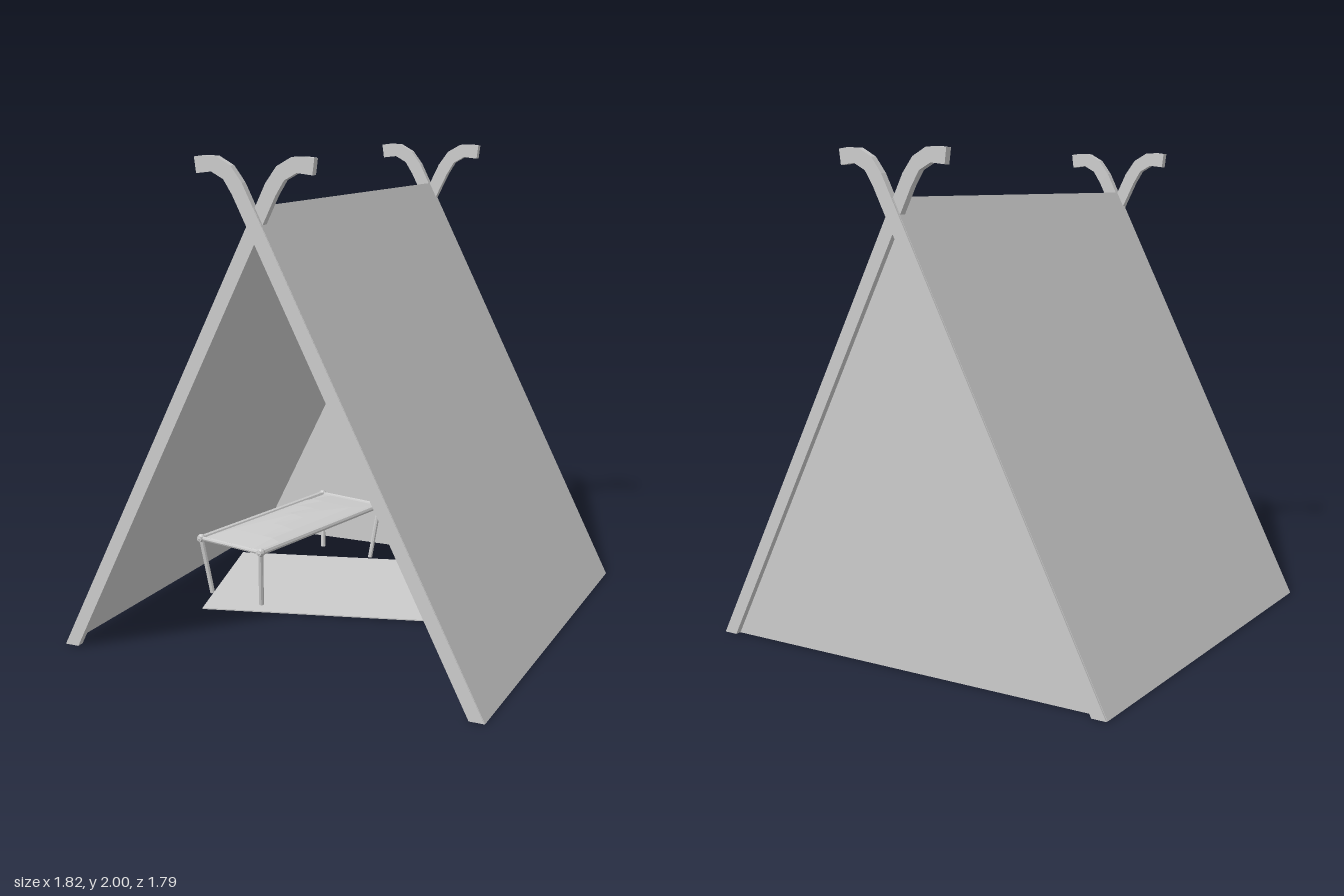
import * as THREE from 'three';

const material = new THREE.MeshStandardMaterial({ color: 0xcccccc, flatShading: true, side: THREE.DoubleSide });

function add(parent, name, geometry) {
  const mesh = new THREE.Mesh(geometry, material);
  mesh.name = name;
  parent.add(mesh);
  return mesh;
}

// Extrude an x/y outline between two z values; side = -1 mirrors it in x
function slab(points, side, z0, z1) {
  let pts = points.map(([x, y]) => new THREE.Vector2(x * side, y));
  if (side < 0) pts = pts.reverse();
  const geometry = new THREE.ExtrudeGeometry(new THREE.Shape(pts), { depth: z1 - z0, bevelEnabled: false });
  return geometry.translate(0, 0, z0);
}

// Round stick between two points
function stick(parent, name, a, b, radius) {
  const from = new THREE.Vector3(...a), to = new THREE.Vector3(...b);
  const dir = to.clone().sub(from);
  const mesh = add(parent, name, new THREE.CylinderGeometry(radius, radius, dir.length(), 8));
  mesh.position.copy(from).add(to).multiplyScalar(0.5);
  mesh.quaternion.setFromUnitVectors(new THREE.Vector3(0, 1, 0), dir.normalize());
  return mesh;
}

function createTent() {
  const tent = new THREE.Group();
  tent.name = 'tent';

  // Crossing poles with curled tips
  const pole = [
    [0.91, 0], [0, 1.815], [-0.045, 1.905], [-0.09, 1.965], [-0.15, 1.998], [-0.2, 2], [-0.24, 1.995],
    [-0.232, 1.935], [-0.17, 1.942], [-0.12, 1.915], [-0.085, 1.86], [-0.035, 1.76], [0, 1.69], [0.85, 0],
  ];
  add(tent, 'frontLeftPole', slab(pole, 1, 0.865, 0.895));
  add(tent, 'backLeftPole', slab(pole, 1, -0.89, -0.86));
  add(tent, 'frontRightPole', slab(pole, -1, 0.853, 0.883));
  add(tent, 'backRightPole', slab(pole, -1, -0.9, -0.87));

  // Sloping cloth walls
  const wall = [[0, 1.818], [0.912, 0], [0.9, 0], [0, 1.794]];
  add(tent, 'leftWall', slab(wall, 1, -0.883, 0.893));
  add(tent, 'rightWall', slab(wall, -1, -0.893, 0.881));

  // Closed back
  const back = new THREE.Shape([[-0.89, 0], [0.89, 0], [0, 1.78]].map((p) => new THREE.Vector2(...p)));
  add(tent, 'backWall', new THREE.ShapeGeometry(back)).position.z = -0.865;
  return tent;
}

function createCot() {
  const cot = new THREE.Group();
  cot.name = 'cot';
  const w = 0.175, l = 0.45, h = 0.262;

  // Splayed legs, corner knobs
  for (const sx of [-1, 1]) {
    for (const sz of [-1, 1]) {
      stick(cot, 'cotLeg', [sx * w, h, sz * l], [sx * 0.145, 0, sz * 0.415], 0.011);
      add(cot, 'cotKnob', new THREE.SphereGeometry(0.019, 8, 6)).position.set(sx * w, h, sz * l);
    }
    stick(cot, 'cotSideRail', [sx * w, h, -l - 0.015], [sx * w, h, l + 0.015], 0.014);
    stick(cot, 'cotEndRail', [-w, h, sx * l], [w, h, sx * l], 0.01);
  }

  // Padded bed: gently raised on top, sagging to a point below
  const top = new THREE.PlaneGeometry(2 * w, 2 * l, 6, 6).rotateX(-Math.PI / 2);
  const under = top.clone();
  for (const [geometry, height, power] of [[top, 0.035, 0.7], [under, -0.06, 1]]) {
    const p = geometry.attributes.position;
    for (let i = 0; i < p.count; i++) {
      const edge = Math.max(Math.abs(p.getX(i)) / w, Math.abs(p.getZ(i)) / l);
      p.setY(i, h + height * Math.pow(Math.max(0, 1 - edge), power));
    }
    geometry.computeVertexNormals();
  }
  add(cot, 'cotBedTop', top);
  add(cot, 'cotBedUnderside', under);

  cot.position.set(-0.435, 0, -0.27);
  cot.rotation.y = -0.21;
  return cot;
}

function createTable() {
  const table = new THREE.Group();
  table.name = 'table';
  add(table, 'tableTop', new THREE.BoxGeometry(0.62, 0.016, 0.26)).position.y = 0.342;

  // Four square legs, leaning slightly in at the foot
  for (const sx of [-1, 1]) {
    for (const sz of [-1, 1]) {
      const leg = new THREE.BoxGeometry(0.026, 0.335, 0.026).translate(0, 0.1675, 0);
      const p = leg.attributes.position;
      for (let i = 0; i < p.count; i++) {
        const lean = p.getY(i) * 0.045;
        p.setX(i, p.getX(i) + sx * (0.275 + lean));
        p.setZ(i, p.getZ(i) + sz * (0.09 + lean));
      }
      add(table, 'tableLeg', leg);
    }
  }
  table.position.set(0.347, 0, -0.58);
  table.rotation.y = -0.29;
  return table;
}

export function createModel() {
  const model = new THREE.Group();
  model.name = 'tentCamp';
  model.add(createTent(), createCot(), createTable());

  // Ground mat, turned a little
  const mat = add(model, 'groundMat', new THREE.BoxGeometry(1.31, 0.005, 0.78));
  mat.position.set(-0.07, 0.0035, -0.24);
  mat.rotation.y = 0.27;
  return model;
}
